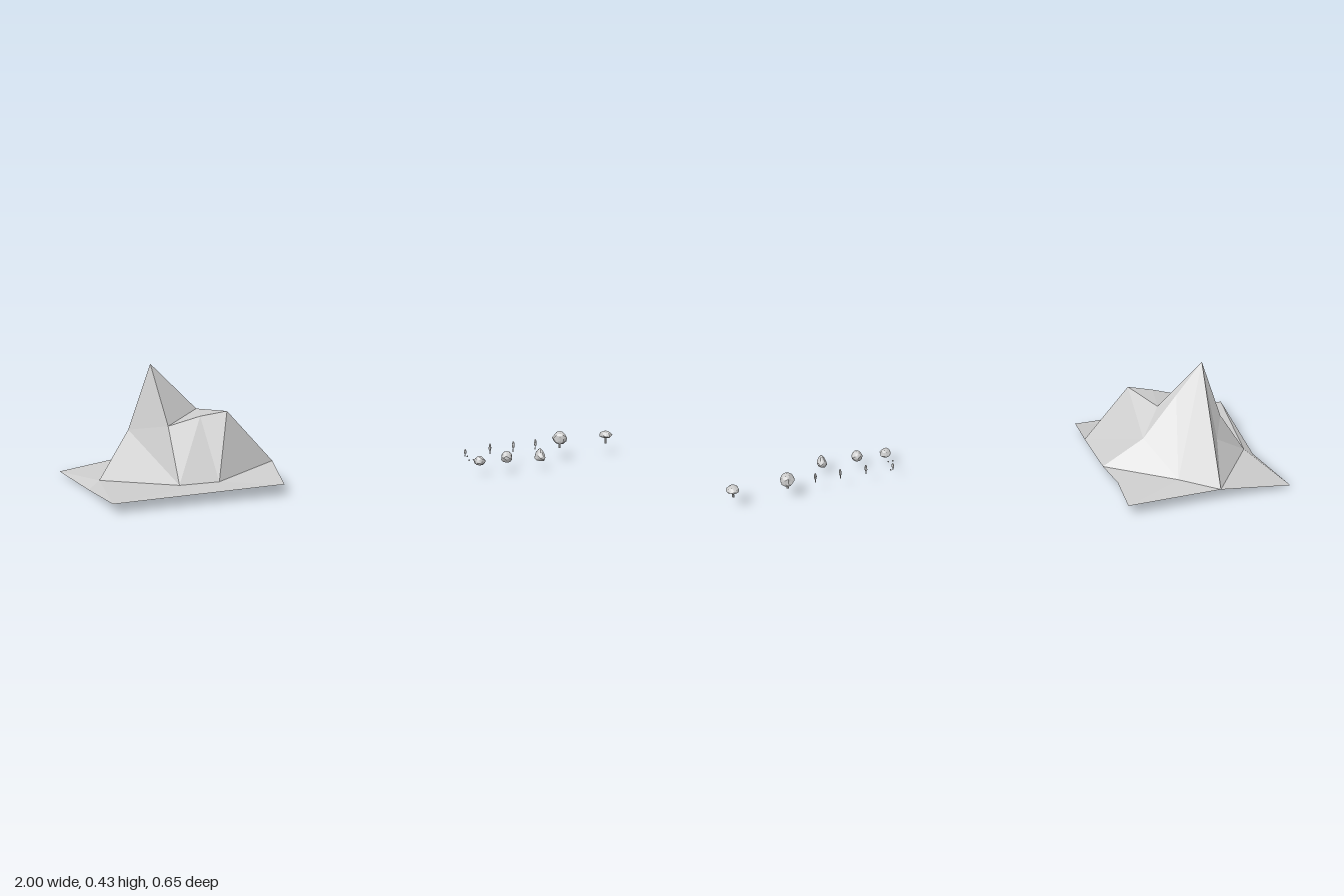
import * as THREE from 'three';

const material = new THREE.MeshStandardMaterial({ color: 0xcccccc, flatShading: true, side: THREE.DoubleSide });

function addMesh(parent, name, geometry, x = 0, y = 0, z = 0) {
  const mesh = new THREE.Mesh(geometry, material);
  mesh.name = name;
  mesh.position.set(x, y, z);
  parent.add(mesh);
  return mesh;
}

// Faceted lump: a low-poly ball whose corners shift by a fixed rule, narrowed towards the top
function lump(rx, ry, rz, taper, seed) {
  const geometry = new THREE.IcosahedronGeometry(1, 1);
  const p = geometry.attributes.position;
  for (let i = 0; i < p.count; i++) {
    const x = p.getX(i), y = p.getY(i), z = p.getZ(i);
    const wobble = 1 + 0.1 * Math.sin(5 * x + 7 * y + 3 * z + seed);
    const width = wobble * (1 - taper * y);
    p.setXYZ(i, x * rx * width, Math.max(y, -0.8) * ry, z * rz * width);
  }
  geometry.computeVertexNormals();
  return geometry;
}

// Named corners of the mountain and its skirt of ground
const corners = {
  peak: [-0.74, 0.43, -0.053], shoulder: [-0.64, 0.315, -0.065],
  leftCrag: [-0.82, 0.2, -0.07], gully: [-0.79, 0.13, -0.12],
  shelfIn: [-0.58, 0.262, -0.036], shelfA: [-0.72, 0.23, 0.07],
  shelfB: [-0.61, 0.26, 0.09], shelfC: [-0.52, 0.275, 0.113],
  rightCrag: [-0.505, 0.17, -0.093], backFoot: [-0.585, 0.07, -0.25],
  leftFoot: [-0.93, 0.03, -0.065], frontFoot: [-0.72, 0.045, 0.18],
  frontFoot2: [-0.585, 0.05, 0.205],
  rimRightFront: [-0.35, 0.082, 0.105], rimRightBack: [-0.355, 0.07, -0.08],
  rimNotch: [-0.372, 0.062, -0.19], rimBack: [-0.72, 0.05, -0.33],
  rimLeft: [-0.97, 0, -0.063],
  cornerBR: [-0.36, 0.05, -0.33], cornerBL: [-1, 0.013, -0.328],
  cornerFR: [-0.38, 0.04, 0.292], cornerFL: [-0.99, 0.032, 0.292],
};

// Each strip is a fan of triangles around its first corner
const fans = [
  'peak leftCrag shelfA shelfIn shoulder backFoot rimBack gully leftCrag',
  'shelfIn shelfA shelfB shelfC rightCrag shoulder',
  'rightCrag shelfC rimRightFront rimRightBack backFoot shoulder',
  'frontFoot leftFoot leftCrag shelfA shelfB frontFoot2',
  'frontFoot2 shelfB shelfC rimRightFront cornerFR cornerFL frontFoot',
  'leftFoot frontFoot cornerFL rimLeft cornerBL rimBack gully leftCrag',
  'backFoot rimRightBack rimNotch cornerBR rimBack',
];

function mountainGeometry() {
  const points = [];
  for (const fan of fans) {
    const v = fan.split(' ').map((key) => new THREE.Vector3(...corners[key]));
    for (let i = 1; i < v.length - 1; i++) {
      const up = v[i].clone().sub(v[0]).cross(v[i + 1].clone().sub(v[0])).y > 0;
      points.push(v[0], ...(up ? [v[i], v[i + 1]] : [v[i + 1], v[i]]));
    }
  }
  const geometry = new THREE.BufferGeometry().setFromPoints(points);
  geometry.computeVertexNormals();
  return geometry;
}

function addTree(parent, x, z, canopyY, rx, ry, rz, seed) {
  const tree = new THREE.Group();
  tree.name = 'tree';
  tree.position.set(x, 0.042, z);
  addMesh(tree, 'trunk', new THREE.CylinderGeometry(0.003, 0.0045, canopyY, 6), 0, canopyY / 2, 0);
  addMesh(tree, 'canopy', lump(rx, ry, rz, 0.15, seed), 0, canopyY, 0);
  parent.add(tree);
}

function addSapling(parent, x, z, height) {
  const sapling = new THREE.Group();
  sapling.name = 'sapling';
  sapling.position.set(x, 0.045, z);
  addMesh(sapling, 'stem', new THREE.CylinderGeometry(0.0015, 0.002, height * 0.5, 5), 0, height * 0.25, 0);
  addMesh(sapling, 'leaves', lump(0.005, height * 0.36, 0.005, 0.2, x * 9), 0, height * 0.64, 0);
  parent.add(sapling);
}

export function createModel() {
  const model = new THREE.Group();
  model.name = 'landscapeSet';

  addMesh(model, 'mountain', mountainGeometry());

  // Two leafy trees: one round, one flat and wide
  addTree(model, 0.775, 0.173, 0.038, 0.025, 0.026, 0.029, 1);
  addTree(model, 0.975, 0.173, 0.034, 0.023, 0.014, 0.026, 3);

  // Boulders in the front row
  addMesh(model, 'lowBoulder', lump(0.02, 0.018, 0.02, 0.2, 2), 0.377, 0.053, 0.289);
  addMesh(model, 'roundBoulder', lump(0.021, 0.022, 0.02, 0.1, 5), 0.486, 0.057, 0.291);
  addMesh(model, 'pointedBoulder', lump(0.017, 0.025, 0.022, 0.5, 4), 0.619, 0.055, 0.3);

  // Slim saplings in the back row
  [0.48, 0.577, 0.67].forEach((x) => addSapling(model, x, 0.175, 0.04));
  addSapling(model, 0.378, 0.175, 0.028);

  // Scattered pebbles
  for (const [x, z] of [[0.363, 0.235], [0.38, 0.235], [0.387, 0.175]]) {
    addMesh(model, 'pebble', lump(0.003, 0.003, 0.003, 0.1, x * 20), x, 0.045, z);
  }
  return model;
}
